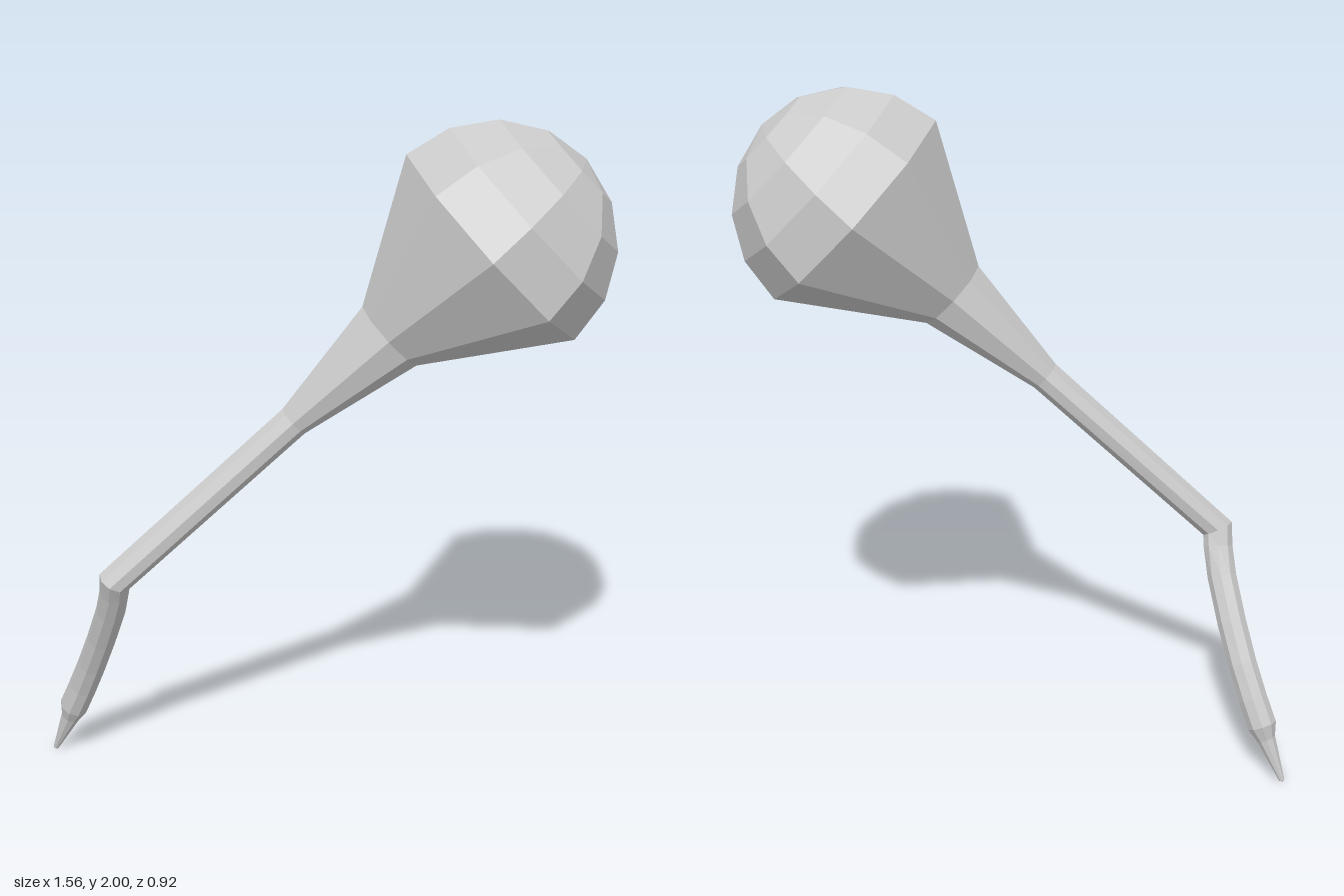
import * as THREE from 'three';

const SIDES = 9;
const V = (x, y, z) => new THREE.Vector3(x, y, z);
const REF = V(-0.047, 0.199, 0.276); // keeps the facets of all rings aligned

// Skin rings given as { c: centre, n: direction of travel, r: radius }
function loft(name, rings, material) {
  const pos = [], index = [];
  for (const { c, n, r } of rings) {
    const dir = n.clone().normalize();
    const u = REF.clone().addScaledVector(dir, -REF.dot(dir)).normalize();
    const v = dir.clone().cross(u);
    for (let i = 0; i < SIDES; i++) {
      const a = (i / SIDES) * Math.PI * 2;
      const p = c.clone().addScaledVector(u, r * Math.cos(a)).addScaledVector(v, r * Math.sin(a));
      pos.push(p.x, p.y, p.z);
    }
  }
  for (let k = 0; k + 1 < rings.length; k++) {
    for (let i = 0; i < SIDES; i++) {
      const a = k * SIDES + i, b = k * SIDES + ((i + 1) % SIDES);
      const c = a + SIDES, d = b + SIDES;
      if (rings[k].r > 0) index.push(a, b, c);
      if (rings[k + 1].r > 0) index.push(b, d, c);
    }
  }
  const geo = new THREE.BufferGeometry();
  geo.setAttribute('position', new THREE.Float32BufferAttribute(pos, 3));
  geo.setIndex(index);
  geo.computeVertexNormals();
  const mesh = new THREE.Mesh(geo, material);
  mesh.name = name;
  return mesh;
}

export function createModel() {
  const group = new THREE.Group();
  group.name = 'jointedLeg';
  const material = new THREE.MeshStandardMaterial({ color: 0xcccccc, flatShading: true, side: THREE.DoubleSide });

  const hip = V(0.447, 1.661, -0.116);
  const knee = V(-0.457, 0.695, 0.418);
  const down = knee.clone().sub(hip).normalize();
  const along = (t, r, n = down) => ({ c: hip.clone().addScaledVector(down, t), n, r });

  // Bulb: hemispherical cap, then a cone to the collar
  const R = 0.344, ROWS = 4, bulb = [];
  for (let i = 0; i <= ROWS; i++) {
    const a = (i / ROWS) * Math.PI / 2;
    bulb.push(along(-R * Math.cos(a), R * Math.sin(a)));
  }
  bulb.push(along(0.37, 0.112));
  group.add(loft('bulb', bulb, material));

  // Lower segment follows a gentle bow from knee to ankle
  const curve = new THREE.CatmullRomCurve3([
    knee, V(-0.48, 0.62, 0.39), V(-0.56, 0.45, 0.335), V(-0.64, 0.29, 0.297), V(-0.7, 0.17, 0.284),
  ]);
  const mitre = curve.getTangent(0.1).add(down);

  // Upper segment: flare below the collar, then a straight shaft to the mitred knee
  group.add(loft('upperSegment', [along(0.37, 0.112), along(0.73, 0.047), { c: knee, n: mitre, r: 0.047 }], material));

  const lower = [{ c: knee, n: mitre, r: 0.047 }];
  for (let i = 1; i <= 6; i++) {
    const t = i / 6;
    lower.push({ c: curve.getPoint(t), n: curve.getTangent(t), r: 0.043 });
  }
  group.add(loft('lowerSegment', lower, material));

  // Claw: shoulder narrowing to a blunt point
  const ankle = lower[lower.length - 1];
  const clawDir = V(-0.075, -0.155, 0);
  group.add(loft('claw', [
    ankle,
    { c: V(-0.715, 0.13, 0.284), n: clawDir, r: 0.028 },
    { c: V(-0.773, 0.008, 0.284), n: clawDir, r: 0.008 },
    { c: V(-0.775, 0.004, 0.284), n: clawDir, r: 0 },
  ], material));

  return group;
}
